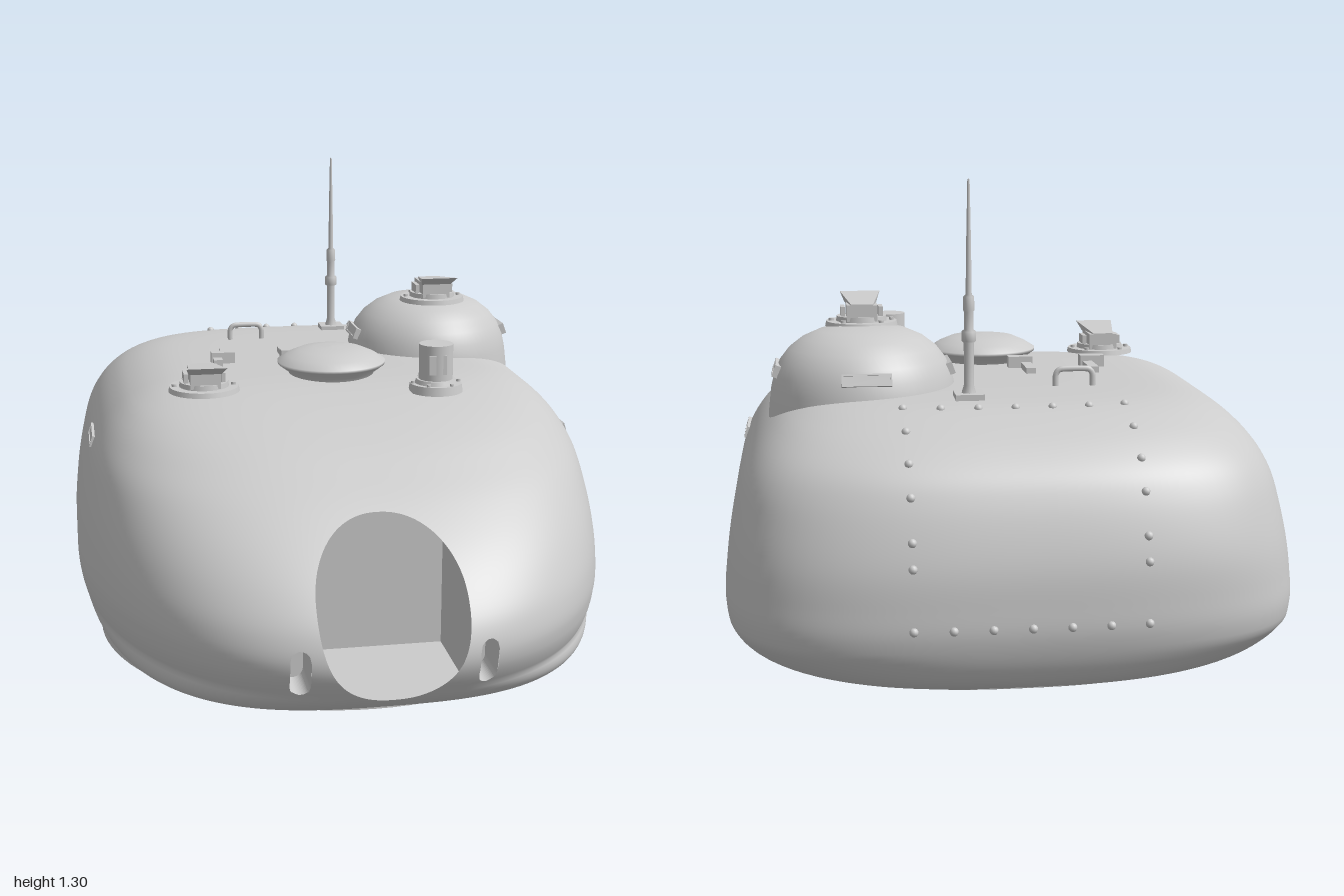
import * as THREE from 'three';

const mat = new THREE.MeshStandardMaterial({ color: 0xcccccc });
const open = new THREE.MeshStandardMaterial({ color: 0xcccccc, side: THREE.DoubleSide });
const inner = new THREE.MeshStandardMaterial({ color: 0xcccccc, side: THREE.BackSide });

function add(parent, name, geo, x = 0, y = 0, z = 0, material = mat) {
  const m = new THREE.Mesh(geo, material);
  m.name = name;
  m.position.set(x, y, z);
  parent.add(m);
  return m;
}
const box = (w, h, d) => new THREE.BoxGeometry(w, h, d);
const cyl = (r1, r2, h, n = 32) => new THREE.CylinderGeometry(r1, r2, h, n);
const lathe = (pts, n = 48) => new THREE.LatheGeometry(pts.map(p => new THREE.Vector2(...p)), n);
const clamp = THREE.MathUtils.clamp;

// Horizontal slices of the shell: height, half width, front reach, rear reach
const LAYERS = [
  [0.04, 0, 0, 0], [0.041, 0.55, 0.74, 0.75], [0.053, 0.635, 0.84, 0.85], [0.085, 0.70, 0.92, 0.925],
  [0.14, 0.735, 0.978, 0.965], [0.22, 0.75, 1.018, 0.987], [0.30, 0.745, 1.0, 0.987],
  [0.38, 0.735, 0.94, 0.98], [0.46, 0.72, 0.852, 0.96], [0.54, 0.70, 0.737, 0.93],
  [0.60, 0.67, 0.63, 0.895], [0.65, 0.63, 0.53, 0.84], [0.69, 0.58, 0.42, 0.775],
  [0.72, 0.51, 0.30, 0.70], [0.735, 0.42, 0.20, 0.60], [0.74, 0.25, 0.10, 0.40], [0.74, 0, 0, 0],
];
const curve = pts => new THREE.CatmullRomCurve3(pts, false, 'catmullrom', 0.5);
const front = curve(LAYERS.map(l => new THREE.Vector3(l[1], l[0], l[2])));
const rear = curve(LAYERS.map(l => new THREE.Vector3(l[3], l[0], 0)));
const ROWS = 96, COLS = 256;
const slices = Array.from({ length: ROWS + 1 }, (_, j) => {
  const p = front.getPoint(j / ROWS);
  return { w: p.x, y: p.y, zf: p.z, zb: rear.getPoint(j / ROWS).x };
});

// Outline exponents [x, z]: oval front, squarish rear that softens towards the bottom
function frontPower(y) {
  const low = clamp((0.14 - y) / 0.1, 0, 1), high = clamp((y - 0.22) / 0.5, 0, 1);
  return [2.5 + 0.5 * low + 0.5 * high, 2 + low + 0.6 * high];
}
function rearPower(y) {
  const t = clamp((y - 0.04) / 0.14, 0, 1);
  return [2.7 + 0.5 * t, 2.7 + 3.8 * t];
}
function sliceAt(y) {
  let j = 8;
  while (j < ROWS - 2 && slices[j + 1].y < y) j++;
  const a = slices[j], b = slices[j + 1], t = (y - a.y) / (b.y - a.y), mix = k => a[k] + (b[k] - a[k]) * t;
  return { w: mix('w'), zf: mix('zf'), zb: mix('zb') };
}
const reach = (ratio, [p, q]) => Math.max(0, 1 - Math.abs(ratio) ** p) ** (1 / q);
function frontZ(x, y) {
  const s = sliceAt(y);
  return s.zf * reach(x / s.w, frontPower(y));
}
function rearZ(x, y) {
  const s = sliceAt(y);
  return -s.zb * reach(x / s.w, rearPower(y));
}

// If (x, y) lies in a front opening, returns the nearest rim point
function rimPoint(x, y) {
  const cy = 0.36, b = y > cy ? 0.175 : 0.24;
  const e = (Math.abs(x) / 0.19) ** 2.2 + (Math.abs(y - cy) / b) ** 2.2;
  if (e < 1) {
    const k = Math.max(e, 1e-6) ** (-1 / 2.2);
    return [x * k, cy + (y - cy) * k];
  }
  const sx = Math.sign(x) * 0.235, sy = clamp(y, 0.175, 0.25);
  const dx = x - sx, dy = y - sy, d = Math.hypot(dx, dy);
  if (d >= 0.025) return null;
  return d < 1e-6 ? [sx + 0.025, sy] : [sx + dx / d * 0.025, sy + dy / d * 0.025];
}

function shellGeometry() {
  const pos = [], idx = [];
  for (const { w, y, zf, zb } of slices) {
    for (let i = 0; i < COLS; i++) {
      const u = (i + 0.5) / COLS * Math.PI * 2, a = u - 0.55 * Math.sin(u);
      const s = Math.abs(Math.sin(a)), c = Math.abs(Math.cos(a)), isFront = Math.cos(a) > 0;
      const [p, q] = isFront ? frontPower(y) : rearPower(y);
      let lo = 0.9, hi = 1.5;
      for (let k = 0; k < 18; k++) {
        const r = (lo + hi) / 2;
        if ((r * s) ** p + (r * c) ** q < 1) lo = r; else hi = r;
      }
      pos.push(w * lo * Math.sin(a), y, (isFront ? zf : zb) * lo * Math.cos(a));
    }
  }
  for (let j = 0; j < ROWS; j++) for (let i = 0; i < COLS; i++) {
    const n = (i + 1) % COLS, a = j * COLS + i, b = j * COLS + n, c = b + COLS, d = a + COLS;
    idx.push(a, b, c, a, c, d);
  }
  const g = new THREE.BufferGeometry();
  g.setAttribute('position', new THREE.Float32BufferAttribute(pos, 3));
  g.setIndex(idx);
  g.computeVertexNormals();
  // cut the openings and pull the cut edge onto the rim
  const P = g.attributes.position, inside = new Map();
  for (let v = 0; v < P.count; v++) {
    const rim = P.getZ(v) > 0.66 && P.getY(v) > 0.1 ? rimPoint(P.getX(v), P.getY(v)) : null;
    if (rim) inside.set(v, rim);
  }
  const kept = [];
  for (let t = 0; t < idx.length; t += 3) {
    const f = idx.slice(t, t + 3);
    if (!f.every(v => inside.has(v))) kept.push(...f);
  }
  inside.forEach(([x, y], v) => P.setXYZ(v, x, y, frontZ(x, y)));
  g.setIndex(kept);
  return g;
}

// Keeps a recess just behind the shell surface
function trimToShell(g) {
  const P = g.attributes.position;
  for (let v = 0; v < P.count; v++) {
    P.setZ(v, Math.min(P.getZ(v), frontZ(P.getX(v), P.getY(v)) - 0.001));
  }
  g.computeVertexNormals();
  return g;
}

// Box-like chamber behind the gun opening
function chamberGeometry() {
  const s = new THREE.Shape();
  s.moveTo(-0.63, 0.119);
  s.lineTo(-0.63, 0.545);
  for (let y = 0.54; y > 0.125; y -= 0.03) s.lineTo(-clamp(frontZ(0, y), 0.701, 0.955), y);
  s.lineTo(-0.955, 0.119);
  const g = new THREE.ExtrudeGeometry(s, { depth: 0.4, steps: 12, bevelEnabled: false });
  return trimToShell(g.translate(0, 0, -0.2).rotateY(Math.PI / 2));
}

function slotGeometry(x) {
  const s = new THREE.Shape();
  s.absarc(0, 0.25, 0.026, 0, Math.PI);
  s.absarc(0, 0.175, 0.026, Math.PI, Math.PI * 2);
  const g = new THREE.ExtrudeGeometry(s, { depth: 0.2, bevelEnabled: false, curveSegments: 12 });
  return trimToShell(g.translate(x, 0, 0.85));
}

// Vision slit: thin frame around a sunken block, facing local +z
function visionSlit(parent, x, y, z, turn, tilt, len) {
  const g = new THREE.Group();
  g.name = 'visionSlit';
  g.position.set(x, y, z);
  g.rotation.set(tilt, turn, 0, 'YXZ');
  for (const s of [-1, 1]) {
    add(g, 'slitRail', box(len, 0.005, 0.03), 0, s * 0.014, 0);
    add(g, 'slitEnd', box(0.005, 0.033, 0.03), s * (len / 2 - 0.0025), 0, 0);
  }
  add(g, 'slitBlock', box(len - 0.01, 0.026, 0.026), 0, 0, -0.001);
  parent.add(g);
}

// Rotating periscope with a hood that widens and rises to the front
function periscope(parent, x, y, z) {
  const g = new THREE.Group();
  g.name = 'periscope';
  g.position.set(x, y, z);
  add(g, 'periscopeFlange', cyl(0.097, 0.1, 0.014), 0, 0.003, 0);
  add(g, 'periscopeCollar', cyl(0.068, 0.07, 0.016), 0, 0.016, 0);
  add(g, 'periscopeBody', box(0.084, 0.045, 0.12), 0, 0.035, 0);
  for (const s of [-1, 1]) add(g, 'periscopeCheek', box(0.012, 0.03, 0.06), s * 0.052, 0.035, 0);
  const hood = box(0.1, 0.02, 0.15), P = hood.attributes.position;
  for (let v = 0; v < P.count; v++) {
    const isFront = P.getZ(v) > 0, top = P.getY(v) > 0;
    P.setX(v, Math.sign(P.getX(v)) * (isFront ? (top ? 0.056 : 0.045) : 0.03));
    P.setY(v, isFront ? (top ? 0.08 : 0.055) : (top ? 0.06 : 0.045));
    P.setZ(v, isFront ? (top ? 0.1 : 0.06) : -0.06);
  }
  hood.computeVertexNormals();
  add(g, 'periscopeHood', hood);
  for (const a of [0, 0.9, Math.PI - 0.9, Math.PI]) {
    add(g, 'screw', cyl(0.007, 0.007, 0.008, 8), 0.083 * Math.cos(a), 0.013, -0.083 * Math.sin(a));
  }
  parent.add(g);
}

export function createModel() {
  const model = new THREE.Group();
  model.name = 'turret';
  add(model, 'shell', shellGeometry(), 0, 0, 0, open);
  // Open turret ring with a recessed floor plate
  add(model, 'turretRing', new THREE.CylinderGeometry(0.69, 0.69, 0.08, 96, 1, true), 0, 0.04, 0.07, open);
  add(model, 'ringFloor', new THREE.CircleGeometry(0.69, 96).rotateX(Math.PI / 2), 0, 0.037, 0.07);
  add(model, 'gunChamber', chamberGeometry(), 0, 0, 0, inner);
  for (const s of [-1, 1]) add(model, 'sightSlot', slotGeometry(s * 0.235), 0, 0, 0, inner);

  // Commander's dome with slits on three sides
  add(model, 'dome', lathe([[0.262, 0.6], [0.257, 0.67], [0.25, 0.73], [0.241, 0.77], [0.225, 0.806], [0.2, 0.838],
    [0.165, 0.865], [0.12, 0.885], [0.06, 0.894], [0, 0.896]], 64), 0.37, 0, -0.31);
  for (const a of [Math.PI / 2, Math.PI, -Math.PI / 2]) {
    visionSlit(model, 0.37 + 0.228 * Math.sin(a), 0.78, -0.31 + 0.228 * Math.cos(a), a, -0.35, 0.13);
  }
  visionSlit(model, 0.688, 0.547, 0.042, Math.PI / 2, -0.3, 0.155);
  visionSlit(model, -0.688, 0.547, -0.05, -Math.PI / 2, -0.3, 0.155);
  periscope(model, 0.37, 0.89, -0.235);
  periscope(model, -0.385, 0.738, 0.2);

  // Mushroom-shaped roof vent
  add(model, 'roofVent', lathe([[0.12, 0.72], [0.125, 0.745], [0.156, 0.768], [0.157, 0.776], [0.13, 0.793],
    [0.095, 0.808], [0.05, 0.814], [0, 0.816]]), 0, 0, 0.06);

  // Signal port
  add(model, 'portFlange', cyl(0.073, 0.077, 0.024), 0.265, 0.733, 0.26);
  add(model, 'portCollar', cyl(0.055, 0.06, 0.014), 0.265, 0.75, 0.26);
  add(model, 'portTube', cyl(0.048, 0.048, 0.12), 0.265, 0.797, 0.26);
  add(model, 'portWindow', box(0.05, 0.055, 0.02), 0.26, 0.803, 0.297);
  for (let i = 0; i < 6; i++) {
    const a = i * Math.PI / 3;
    add(model, 'screw', cyl(0.006, 0.006, 0.008, 8), 0.265 + 0.066 * Math.cos(a), 0.748, 0.26 + 0.066 * Math.sin(a));
  }

  // Hatch hinges and grab handle
  for (const [x, pin] of [[-0.285, -0.02], [-0.105, 0.02]]) {
    add(model, 'hingeStrap', box(0.028, 0.018, 0.135), x, 0.748, -0.17);
    add(model, 'hingeBlock', box(0.07, 0.035, 0.036), x + (pin > 0 ? 0.015 : -0.015), 0.755, -0.113);
  }
  add(model, 'hingeStop', box(0.026, 0.022, 0.045), -0.318, 0.748, -0.08);
  const grip = new THREE.CatmullRomCurve3([[-0.05, 0.73], [-0.05, 0.77], [-0.036, 0.785], [0.036, 0.785],
    [0.05, 0.77], [0.05, 0.73]].map(([x, y]) => new THREE.Vector3(x, y, 0)), false, 'catmullrom', 0.3);
  add(model, 'grabHandle', new THREE.TubeGeometry(grip, 32, 0.008, 8), -0.192, 0, -0.435);

  // Antenna
  add(model, 'antennaBase', box(0.075, 0.02, 0.075), 0.108, 0.74, -0.567);
  add(model, 'antenna', lathe([[0.022, 0.74], [0.013, 0.77], [0.013, 0.88], [0.019, 0.885], [0.019, 0.91], [0.012, 0.915],
    [0.012, 0.96], [0.015, 0.965], [0.014, 1.0], [0.008, 1.005], [0.006, 1.15], [0.003, 1.297], [0, 1.3]], 16), 0.108, 0, -0.567);

  // Rivets around the rear panel
  const rivet = new THREE.SphereGeometry(0.011, 10, 8);
  const putRivet = (x, y) => add(model, 'rivet', rivet, x, y, rearZ(x, y));
  for (let i = -3; i <= 3; i++) for (const y of [0.727, 0.25]) putRivet(i * 0.095, y);
  for (const s of [-1, 1]) for (const y of [0.69, 0.63, 0.56, 0.46, 0.4]) putRivet(s * 0.285, y);
  return model;
}
